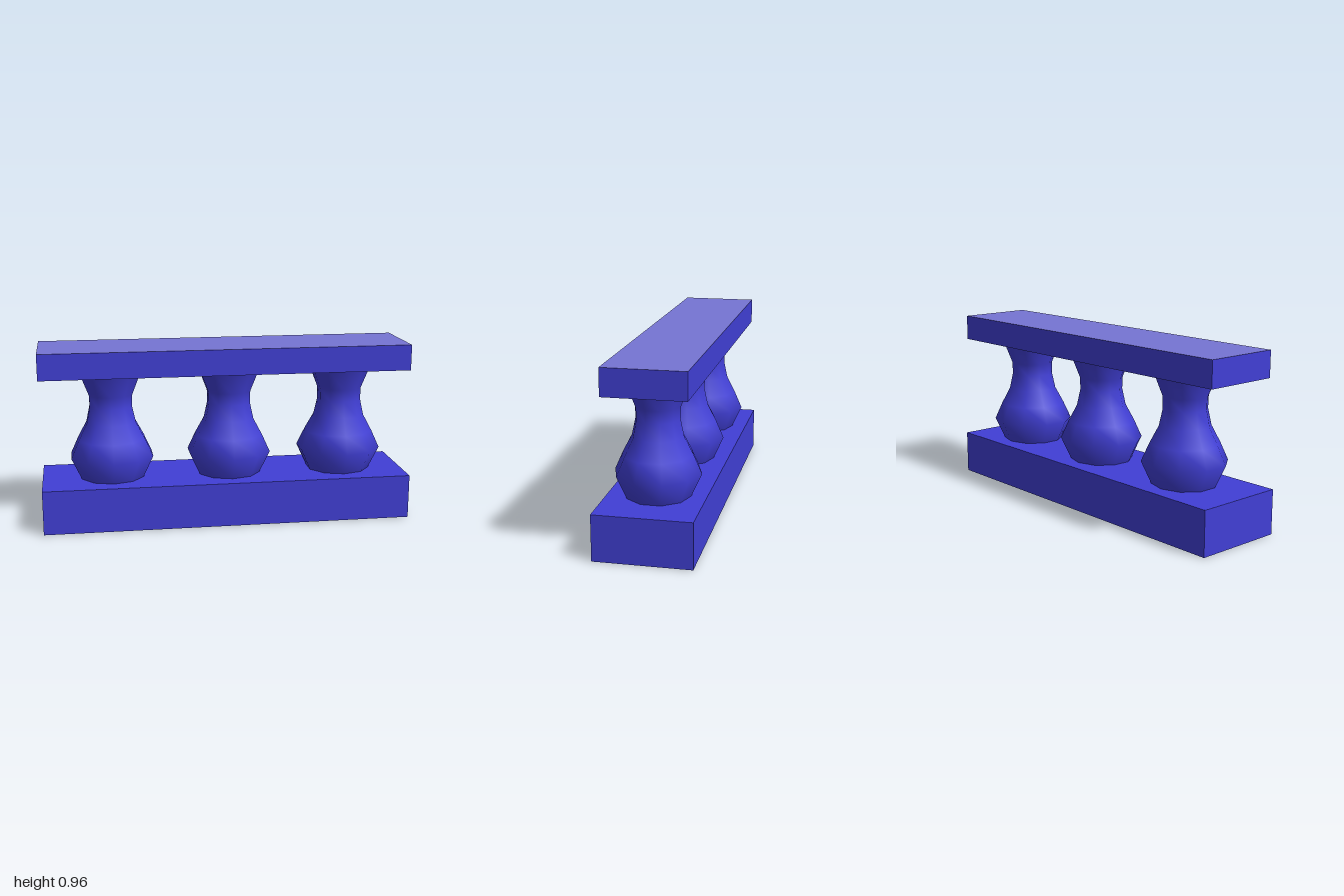
import * as THREE from 'three';

export function createModel() {
  const model = new THREE.Group();
  model.name = 'balustrade';

  const blue = new THREE.MeshStandardMaterial({ color: 0x413fd6 });
  blue.name = 'blue';
  const paleBlue = new THREE.MeshStandardMaterial({ color: 0x7674d4 });
  paleBlue.name = 'pale blue';

  const add = (name, geometry, material, x, y, z) => {
    const mesh = new THREE.Mesh(geometry, material);
    mesh.name = name;
    mesh.position.set(x, y, z);
    model.add(mesh);
  };

  // Plinth
  add('plinth', new THREE.BoxGeometry(2, 0.24, 0.5), blue, 0, 0.12, 0);

  // Handrail, slightly set back, with a paler top face
  add('handrail', new THREE.BoxGeometry(2, 0.14, 0.416),
    [blue, blue, paleBlue, blue, blue, blue], 0, 0.89, -0.016);

  // Ten-sided turned balusters: bulging belly, narrow neck, flared head
  const profile = [
    [0.168, 0.24], [0.222, 0.36], [0.18, 0.455], [0.133, 0.545],
    [0.114, 0.635], [0.116, 0.7], [0.162, 0.822],
  ].map(([r, y]) => new THREE.Vector2(r, y));
  const baluster = new THREE.LatheGeometry(profile, 10);
  baluster.scale(1.05, 1, 1);
  [-0.62, 0.027, 0.652].forEach((x, i) => add(`baluster${i + 1}`, baluster, blue, x, 0, -0.002));

  return model;
}
